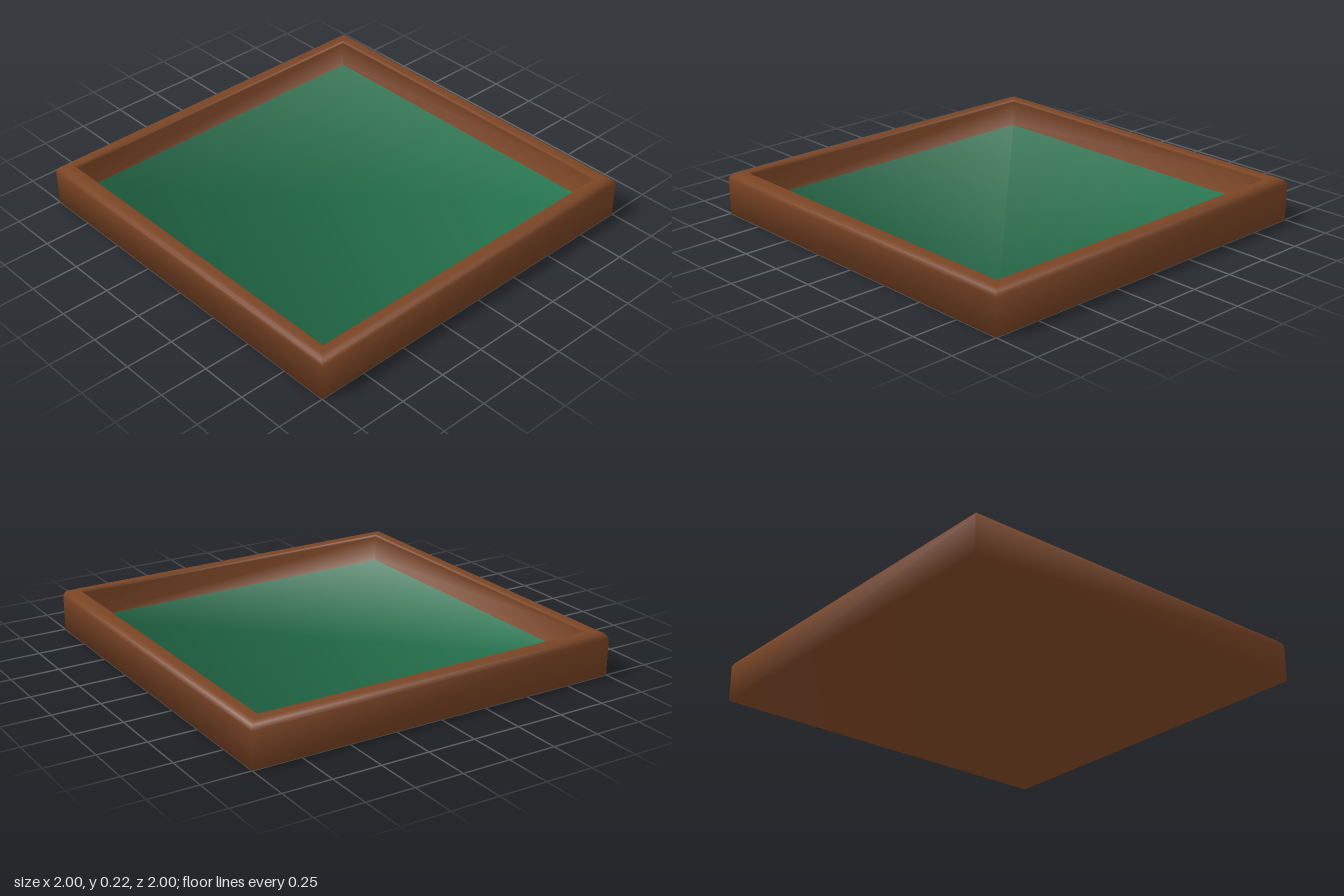
import * as THREE from 'three';

const HALF = 1, INNER = 0.92, TOP = 0.225, FLOOR = 0.07;
const OUTER_R = 0.04, INNER_R = 0.015;

// Wall cross-section as [distance from centre, height], from the outer foot over the rim to the felt
function wallProfile() {
  const pts = [[HALF, 0]];
  const arc = (cx, r, from) => {
    for (let i = 0; i <= 5; i++) {
      const a = from + (i / 5) * Math.PI / 2;
      pts.push([cx + r * Math.cos(a), TOP - r + r * Math.sin(a)]);
    }
  };
  arc(HALF - OUTER_R, OUTER_R, 0);
  arc(INNER + INNER_R, INNER_R, Math.PI / 2);
  pts.push([INNER, FLOOR]);
  return pts;
}

// Corners in order around the square
const CORNERS = [[1, 1], [1, -1], [-1, -1], [-1, 1]];

// Soft normal at ring i: the average of the neighbouring profile segments
function ringNormal(profile, i) {
  const prev = profile[i - 1] ?? [0, 0];
  const next = profile[i + 1] ?? [0, FLOOR];
  const here = profile[i];
  const seg = (a, b) => new THREE.Vector2(b[1] - a[1], a[0] - b[0]).normalize();
  const n = seg(prev, here).add(seg(here, next)).normalize();
  const isFoot = i === 0 || i === profile.length - 1;
  return [n.x, isFoot ? n.y : 2 * n.y];
}

function makeGeometry(profile, rings, index) {
  const position = [], normal = [];
  for (const i of rings) {
    const [r, y] = profile[i];
    const [nr, ny] = ringNormal(profile, i);
    for (const [sx, sz] of CORNERS) {
      position.push(sx * r, y, sz * r);
      normal.push(...new THREE.Vector3(sx * nr, ny, sz * nr).normalize().toArray());
    }
  }
  const g = new THREE.BufferGeometry();
  g.setAttribute('position', new THREE.Float32BufferAttribute(position, 3));
  g.setAttribute('normal', new THREE.Float32BufferAttribute(normal, 3));
  g.setIndex(index);
  return g;
}

export function createModel() {
  const wood = new THREE.MeshStandardMaterial({ color: 0x7a4424 });
  wood.name = 'brown wood';
  const felt = new THREE.MeshStandardMaterial({ color: 0x267650 });
  felt.name = 'green felt';

  const group = new THREE.Group();
  group.name = 'tray';
  const profile = wallProfile();
  const rings = profile.map((_, i) => i);

  // Frame: square rings joined into walls, closed underneath
  const index = [0, 2, 1, 0, 3, 2];
  for (let i = 0; i < rings.length - 1; i++) {
    for (let c = 0; c < 4; c++) {
      const a = i * 4 + c, b = i * 4 + (c + 1) % 4;
      index.push(a, b, b + 4, a, b + 4, a + 4);
    }
  }
  const frame = new THREE.Mesh(makeGeometry(profile, rings, index), wood);
  frame.name = 'frame';
  group.add(frame);

  // Felt floor between the walls
  const floor = new THREE.Mesh(
    makeGeometry(profile, [rings.length - 1], [0, 1, 2, 0, 2, 3]), felt);
  floor.name = 'feltFloor';
  group.add(floor);

  return group;
}
